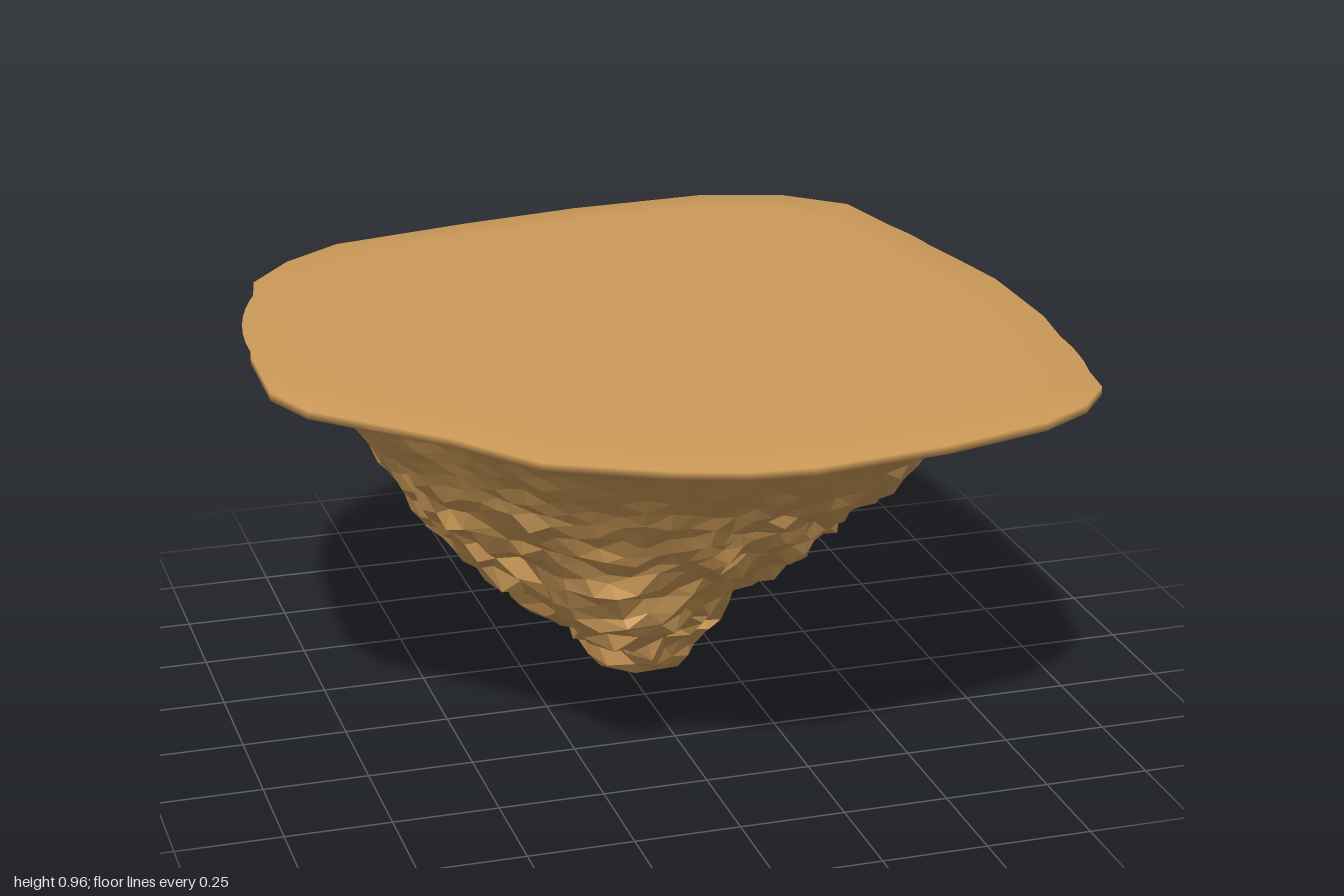
import * as THREE from 'three';
import { mergeVertices } from 'three/addons/utils/BufferGeometryUtils.js';

const RIM_Y = 0.933, TOP_Y = 0.957;
const AXIS = { x: 0.05, z: -0.13 };

// Plan outline of the island as x, z pairs
const OUTLINE = [
  0.45, -1, 0.66, -0.94, 0.8, -0.81, 0.9, -0.28, 0.93, -0.1, 0.93, 0.2, 0.86, 0.7, 0.78, 0.8,
  0.65, 0.88, 0.4, 0.95, 0.08, 0.995, -0.07, 0.98, -0.22, 0.93, -0.47, 0.8, -0.62, 0.6,
  -0.88, 0.34, -0.935, 0.2, -0.93, -0.06, -0.82, -0.6, -0.71, -0.74, -0.56, -0.85, -0.2, -0.93,
  0.1, -0.98,
];

// Rock radius around the axis at each height, by compass direction in degrees from +x to +z
const LEVELS = [0.93, 0.89, 0.75, 0.6, 0.45, 0.3, 0.2];
const PROFILES = {
  0: [0.82, 0.73, 0.58, 0.45, 0.32, 0.2, 0.15],
  26: [0.92, 0.84, 0.72, 0.63, 0.44, 0.25, 0.17],
  48: [1.03, 0.94, 0.77, 0.63, 0.45, 0.27, 0.18],
  88: [1.02, 0.96, 0.82, 0.7, 0.54, 0.33, 0.2],
  113: [1.04, 0.99, 0.88, 0.77, 0.7, 0.58, 0.3],
  138: [0.92, 0.87, 0.78, 0.7, 0.59, 0.4, 0.22],
  180: [0.92, 0.84, 0.74, 0.65, 0.53, 0.35, 0.24],
  220: [0.94, 0.86, 0.77, 0.68, 0.58, 0.43, 0.24],
  240: [0.87, 0.84, 0.77, 0.7, 0.63, 0.5, 0.25],
  275: [0.81, 0.77, 0.67, 0.59, 0.5, 0.33, 0.19],
  315: [0.95, 0.85, 0.71, 0.53, 0.36, 0.24, 0.16],
};

const { lerp, clamp, smoothstep, degToRad } = THREE.MathUtils;
const TURN = Math.PI * 2;
const wrap = (angle) => ((angle % TURN) + TURN) % TURN;

// Interpolates sorted [angle, value] pairs around a full turn
function aroundTurn(pairs, angle, mix) {
  const i = pairs.findIndex(([a0], k) =>
    wrap(angle - a0) < wrap(pairs[(k + 1) % pairs.length][0] - a0));
  const [a0, v0] = pairs[i], [a1, v1] = pairs[(i + 1) % pairs.length];
  return mix(v0, v1, wrap(angle - a0) / wrap(a1 - a0));
}

// Rim points in polar form around the axis
const rim = [];
for (let i = 0; i < OUTLINE.length; i += 2) {
  const dx = OUTLINE[i] - AXIS.x, dz = OUTLINE[i + 1] - AXIS.z;
  rim.push([wrap(Math.atan2(dz, dx)), Math.hypot(dx, dz)]);
}
rim.sort((p, q) => p[0] - q[0]);
const rimRadius = (angle) => aroundTurn(rim, angle, lerp);

// Rock radius from the profiles, rounding off to the tip below the lowest level
const profiles = Object.entries(PROFILES).map(([deg, radii]) => [degToRad(Number(deg)), radii]);
function rockRadius(angle, y) {
  let k = 0;
  while (k < LEVELS.length - 2 && LEVELS[k + 1] > y) k++;
  const t = clamp((LEVELS[k] - y) / (LEVELS[k] - LEVELS[k + 1]), 0, 1);
  const r = aroundTurn(profiles, angle, (p, q, s) => {
    const e = s * s * (3 - 2 * s);
    return lerp(lerp(p[k], q[k], e), lerp(p[k + 1], q[k + 1], e), t);
  });
  return r * Math.sqrt(Math.min(1, y / LEVELS[LEVELS.length - 1]));
}

// Thin plate lofted through scaled copies of the rim: [scale, height] from centre top to underside
function plateGeometry() {
  const rings = [[0, TOP_Y], [0.86, TOP_Y], [1, TOP_Y - 0.004], [1, RIM_Y], [0.93, RIM_Y]];
  const n = rim.length, positions = [], index = [];
  rings.forEach(([scale, y], i) => rim.forEach(([angle, r], j) => {
    positions.push(AXIS.x + Math.cos(angle) * r * scale, y, AXIS.z + Math.sin(angle) * r * scale);
    if (i === rings.length - 1) return;
    const a = i * n + j, b = i * n + (j + 1) % n;
    index.push(a, b, a + n, b, b + n, a + n);
  }));
  const geometry = new THREE.BufferGeometry();
  geometry.setAttribute('position', new THREE.Float32BufferAttribute(positions, 3));
  geometry.setIndex(index);
  geometry.computeVertexNormals();
  return geometry;
}

// Faceted ball remapped onto the rock profiles: its upper half lies flat inside the plate
function rockGeometry() {
  let seed = 11;
  const jitter = (amount) => {
    seed = (seed * 16807) % 2147483647;
    return (seed / 2147483647 - 0.5) * 2 * amount;
  };
  const ball = new THREE.IcosahedronGeometry(1, 17);
  ball.deleteAttribute('normal');
  ball.deleteAttribute('uv');
  const geometry = mergeVertices(ball, 1e-4);
  const position = geometry.attributes.position;
  const v = new THREE.Vector3();
  for (let i = 0; i < position.count; i++) {
    v.fromBufferAttribute(position, i);
    const angle = Math.atan2(v.z, v.x);
    const flat = Math.hypot(v.x, v.z);
    if (v.y >= 0) {
      const r = rimRadius(angle) * flat * 0.985;
      position.setXYZ(i, AXIS.x + Math.cos(angle) * r, 0.94, AXIS.z + Math.sin(angle) * r);
      continue;
    }
    const climb = Math.atan2(flat, -v.y) / (Math.PI / 2);
    const y = 0.932 * climb;
    const rough = smoothstep(0.97 - y, 0.03, 0.5) * Math.min(1, y / 0.06);
    const base = Math.min(rockRadius(angle, y), rimRadius(angle) * 0.98);
    // Broad crags and gullies, then a small random chip
    const crag = Math.sin(v.x * 11 + v.y * 7) * Math.sin(v.z * 12 - v.y * 5) * 0.022
      + Math.sin(v.x * 23 - v.z * 19) * Math.sin(v.y * 21 + v.z * 9) * 0.016;
    const r = base + (crag - 0.004) * rough;
    position.setXYZ(i,
      AXIS.x + Math.cos(angle) * r + jitter(0.015) * rough,
      Math.max(0, y + jitter(0.018) * rough),
      AXIS.z + Math.sin(angle) * r + jitter(0.015) * rough);
  }
  geometry.computeVertexNormals();
  return geometry;
}

export function createModel() {
  const group = new THREE.Group();
  group.name = 'floatingIsland';
  const color = 0xcc9a58;

  // Flat ground with a softly shaded thin rim
  const ground = new THREE.Mesh(plateGeometry(), new THREE.MeshStandardMaterial({ color }));
  ground.name = 'groundPlate';

  // Craggy underside tapering to an off-centre tip
  const rock = new THREE.Mesh(
    rockGeometry(), new THREE.MeshStandardMaterial({ color, flatShading: true }));
  rock.name = 'rockUnderside';

  group.add(ground, rock);
  return group;
}
